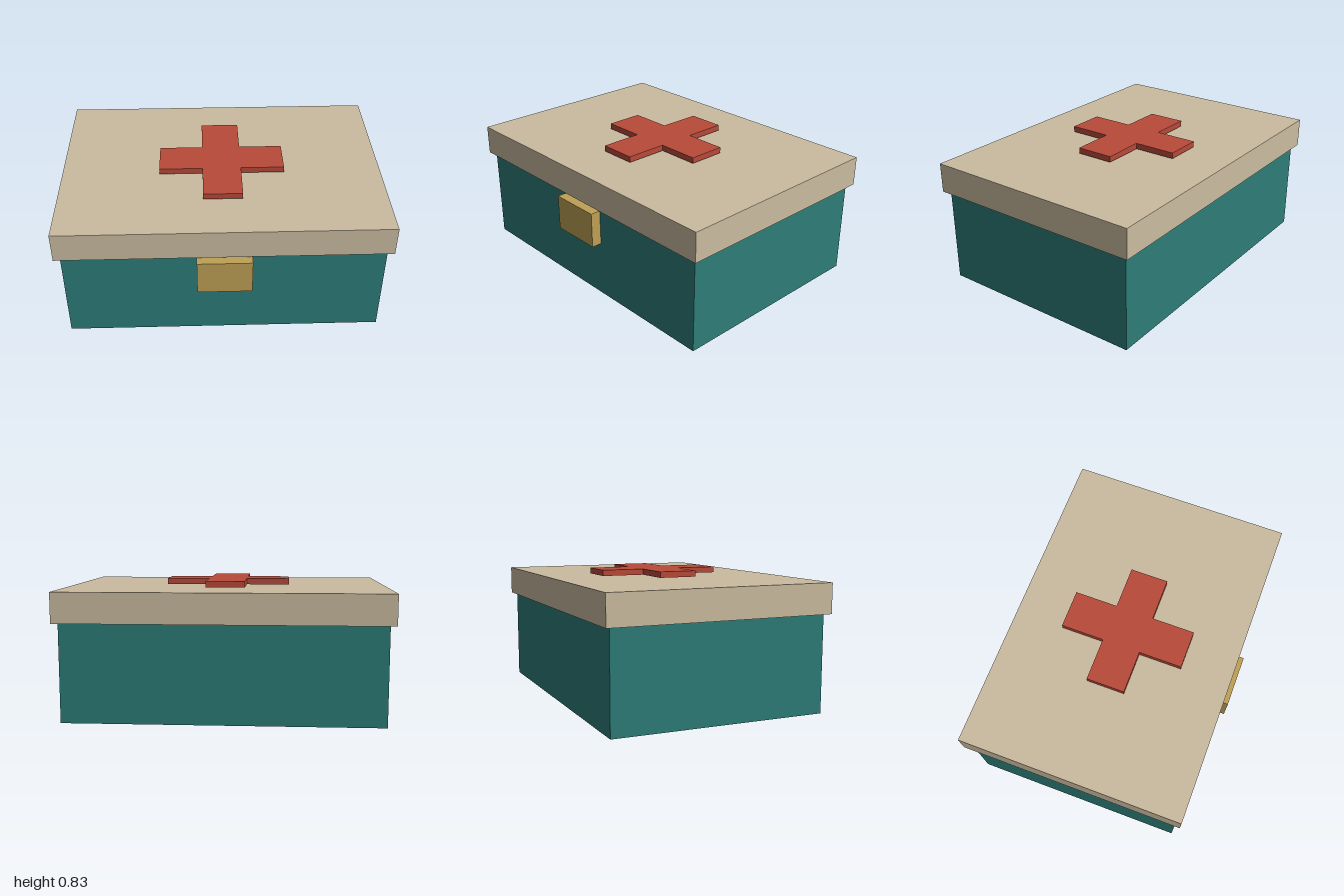
import * as THREE from 'three';

const material = (name, color) => {
  const m = new THREE.MeshStandardMaterial({ color });
  m.name = name;
  return m;
};

export function createModel() {
  const group = new THREE.Group();
  group.name = 'firstAidBox';
  const teal = material('teal', 0x2d7d78);
  const cream = material('cream', 0xcbbca0);
  const brass = material('brass', 0xbea156);
  const red = material('red', 0xb84a3a);
  const midZ = -0.016; // the latch sticks out in front, so the box sits slightly back

  // Box spanning y0..y1 and z0..z1, centred on x
  const addBox = (name, width, y0, y1, z0, z1, mat) => {
    const mesh = new THREE.Mesh(new THREE.BoxGeometry(width, y1 - y0, z1 - z0), mat);
    mesh.position.set(0, (y0 + y1) / 2, (z0 + z1) / 2);
    mesh.name = name;
    group.add(mesh);
  };

  addBox('body', 1.93, 0, 0.6, midZ - 0.67, midZ + 0.67, teal);
  addBox('lid', 2, 0.6, 0.785, midZ - 0.702, midZ + 0.702, cream);
  addBox('latch', 0.33, 0.355, 0.578, 0.654, 0.718, brass);

  // Raised cross just above the lid
  const a = 0.39, b = 0.12;
  const outline = [
    [b, -a], [b, -b], [a, -b], [a, b], [b, b], [b, a],
    [-b, a], [-b, b], [-a, b], [-a, -b], [-b, -b], [-b, -a],
  ].map(([x, y]) => new THREE.Vector2(x, y));
  const crossGeometry = new THREE.ExtrudeGeometry(new THREE.Shape(outline), { depth: 0.037, bevelEnabled: false });
  crossGeometry.rotateX(-Math.PI / 2);
  const cross = new THREE.Mesh(crossGeometry, red);
  cross.position.set(0, 0.793, midZ);
  cross.name = 'cross';
  group.add(cross);

  return group;
}
